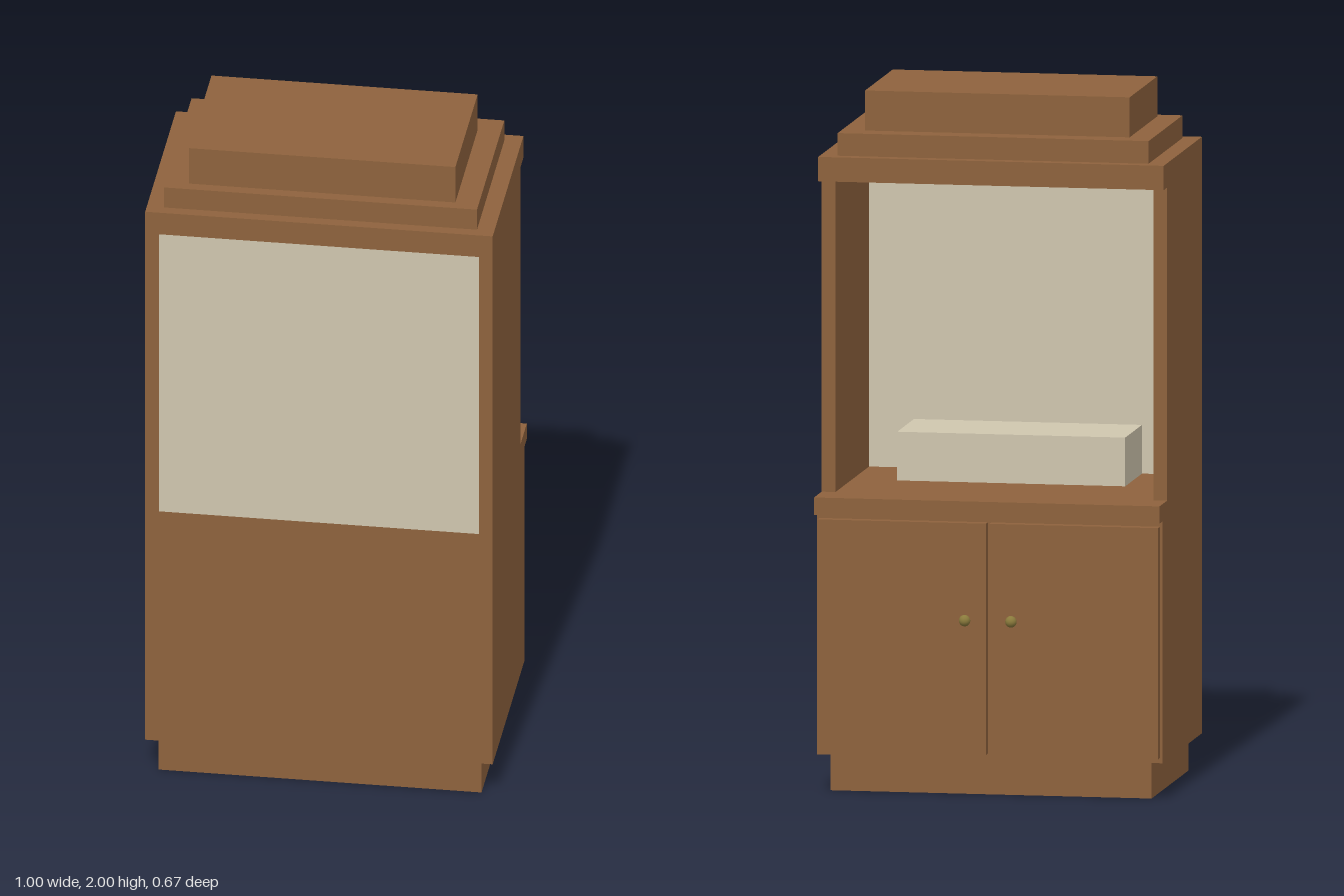
import * as THREE from 'three';

export function createModel() {
  const model = new THREE.Group();
  model.name = 'displayCabinet';
  const wood = new THREE.MeshStandardMaterial({ color: 0x8e623d });
  const cream = new THREE.MeshStandardMaterial({ color: 0xcfc6ae });
  const brass = new THREE.MeshStandardMaterial({ color: 0x8a7a3c });

  // Box given by its extents on each axis
  function box(name, [x0, x1], [y0, y1], [z0, z1], material = wood) {
    const mesh = new THREE.Mesh(new THREE.BoxGeometry(x1 - x0, y1 - y0, z1 - z0), material);
    mesh.position.set((x0 + x1) / 2, (y0 + y1) / 2, (z0 + z1) / 2);
    mesh.name = name;
    model.add(mesh);
  }

  // Plinth, cupboard body and counter
  box('plinth', [-0.465, 0.465], [0, 0.105], [-0.267, 0.313]);
  box('cupboardBody', [-0.5, 0.5], [0.105, 0.8], [-0.287, 0.333]);
  box('counter', [-0.5, 0.5], [0.8, 0.85], [-0.333, 0.333]);

  // Open upper compartment: side walls, pane and inner shelf block
  for (const [side, s] of [['left', 1], ['right', -1]]) {
    const inner = 0.46 * s, outer = 0.5 * s;
    box(side + 'Wall', [Math.min(inner, outer), Math.max(inner, outer)], [0.85, 1.75], [-0.213, 0.333]);
  }
  box('frontPane', [-0.46, 0.46], [0.85, 1.75], [0.313, 0.333], cream);
  box('displayStep', [-0.33, 0.33], [0.85, 0.99], [0.05, 0.313], cream);

  // Stepped crown
  box('cornice', [-0.5, 0.5], [1.75, 1.82], [-0.267, 0.333]);
  box('crownLower', [-0.45, 0.45], [1.82, 1.885], [-0.233, 0.3]);
  box('crownUpper', [-0.383, 0.383], [1.885, 2], [-0.167, 0.267]);

  // Pair of cupboard doors with round knobs
  for (const [side, s] of [['left', 1], ['right', -1]]) {
    const a = 0.005 * s, b = 0.493 * s;
    box(side + 'Door', [Math.min(a, b), Math.max(a, b)], [0.12, 0.785], [-0.317, -0.287]);
    const knob = new THREE.Mesh(new THREE.SphereGeometry(0.0167, 16, 12), brass);
    knob.position.set(0.067 * s, 0.505, -0.3165);
    knob.name = side + 'Knob';
    model.add(knob);
  }
  return model;
}
